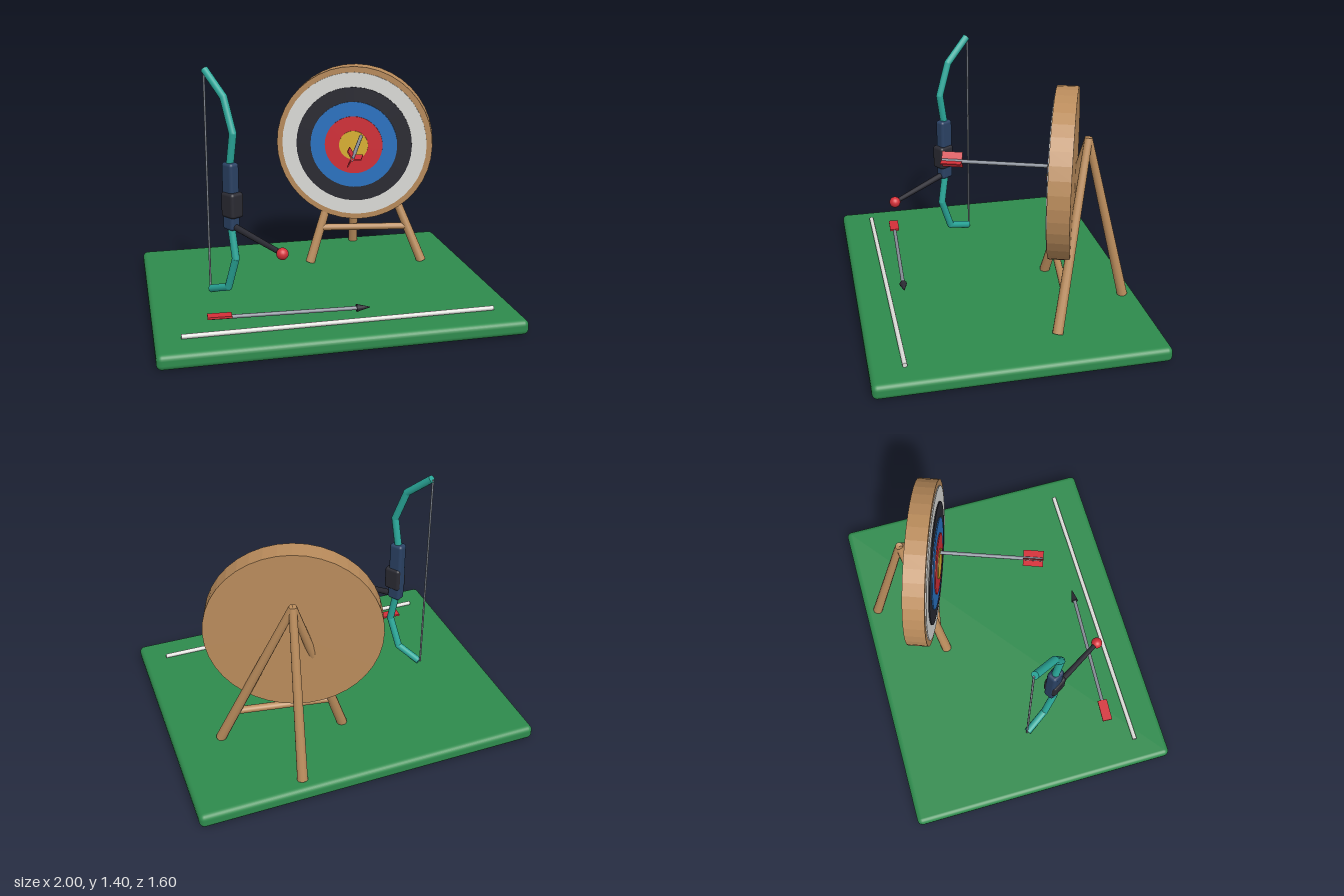
import * as THREE from 'three';
import { RoundedBoxGeometry } from 'three/addons/geometries/RoundedBoxGeometry.js';

const mat = (name, color, side = THREE.FrontSide) => {
  const m = new THREE.MeshStandardMaterial({ color, side });
  m.name = name;
  return m;
};
const V = (x, y, z) => new THREE.Vector3(x, y, z);

export function createModel() {
  const green = mat('grass green', 0x2e8b4d);
  const wood = mat('tan wood', 0xba8c5c);
  const white = mat('off white', 0xdededa);
  const black = mat('near black', 0x2a2a32);
  const blue = mat('ring blue', 0x2a74c4);
  const red = mat('bright red', 0xd42f38);
  const gold = mat('gold', 0xdcb232);
  const teal = mat('limb teal', 0x2aa89a);
  const navy = mat('riser navy', 0x2a4163);
  const grey = mat('shaft grey', 0x868c96);

  const root = new THREE.Group();
  root.name = 'archeryRange';

  const add = (parent, name, geo, material, pos) => {
    const m = new THREE.Mesh(geo, material);
    m.name = name;
    if (pos) m.position.copy(pos);
    parent.add(m);
    return m;
  };
  // Cylinder running from a (radius ra) to b (radius rb)
  const rod = (parent, name, a, b, ra, rb, material, sides = 12) => {
    const dir = b.clone().sub(a);
    const m = add(parent, name, new THREE.CylinderGeometry(rb, ra, dir.length(), sides), material,
      a.clone().add(b).multiplyScalar(0.5));
    m.quaternion.setFromUnitVectors(V(0, 1, 0), dir.normalize());
    return m;
  };
  const group = (name, pos, rotY = 0) => {
    const g = new THREE.Group();
    g.name = name;
    g.position.copy(pos);
    g.rotation.y = rotY;
    root.add(g);
    return g;
  };

  // Ground slab and shooting line
  add(root, 'ground', new RoundedBoxGeometry(2, 0.085, 1.6, 3, 0.03), green, V(0, 0.0425, 0));
  rod(root, 'shootingLine', V(-0.86, 0.098, 0.615), V(0.86, 0.098, 0.615), 0.013, 0.013, white);

  // Target disc, facing local +z
  const angle = -0.349;
  const target = group('target', V(0.318, 0.85, -0.367), angle);
  const discGeo = new THREE.CylinderGeometry(0.48, 0.48, 0.12, 40).toNonIndexed();
  discGeo.computeVertexNormals();
  add(target, 'targetDisc', discGeo, wood).rotation.x = Math.PI / 2;

  // Scoring rings, each a thin plate a little further forward
  const rings = [['white', white], ['black', black], ['blue', blue], ['red', red], ['gold', gold]];
  rings.forEach(([name, material], i) => {
    const r = 0.089 * (5 - i);
    const plate = add(target, name + 'Ring', new THREE.CylinderGeometry(r, r, 0.008, 40), material,
      V(0, 0, 0.062 + i * 0.006));
    plate.rotation.x = Math.PI / 2;
  });

  // Tripod stand
  const apex = V(0.36, 1.06, -0.485);
  const feet = { leftLeg: V(0.73, 0.085, -0.235), rightLeg: V(0.03, 0.085, -0.355), rearLeg: V(0.405, 0.085, -0.72) };
  for (const [name, foot] of Object.entries(feet)) rod(root, name, foot, apex, 0.03, 0.022, wood);
  rod(root, 'crossbar', V(0.095, 0.305, -0.382), V(0.645, 0.305, -0.29), 0.021, 0.021, wood);

  // Arrow stuck in the target, along local +z
  const shot = group('stuckArrow', V(0.327, 0.905, -0.26), angle);
  rod(shot, 'arrowShaft', V(0, 0, -0.05), V(0, 0, 0.575), 0.011, 0.011, grey);
  for (let i = 0; i < 3; i++) {
    const a = (i * Math.PI * 2) / 3;
    const fin = add(shot, 'fletching', new THREE.BoxGeometry(0.05, 0.006, 0.115), red,
      V(Math.cos(a) * 0.026, Math.sin(a) * 0.026, 0.522));
    fin.rotation.z = a;
  }

  // Arrow lying on the ground, along local +x
  const lying = group('lyingArrow', V(-0.7, 0.13, 0.483), -0.05);
  rod(lying, 'arrowShaft', V(0, 0, 0), V(0.81, 0, 0), 0.011, 0.011, grey);
  rod(lying, 'arrowHead', V(0.8, 0, 0), V(0.875, 0, 0), 0.022, 0.002, black);
  add(lying, 'fletching', new THREE.BoxGeometry(0.13, 0.012, 0.058), red, V(0.055, 0.008, 0));

  // Bow, built in its own plane with the belly towards local +z
  const bow = group('bow', V(-0.635, 0, -0.008), 0.568);
  const limbs = {
    upperLimb: [[0.195, 0.87], [0.228, 1.06], [0.157, 1.252], [0, 1.385]],
    lowerLimb: [[0.195, 0.53], [0.228, 0.345], [0.157, 0.155], [0, 0.102]],
  };
  for (const [name, pts] of Object.entries(limbs)) {
    const path = pts.map(([z, y]) => V(0, y, z));
    path.forEach((p, i) => {
      if (i) rod(bow, name, path[i - 1], p, 0.022, 0.022, teal);
      if (i && i < 3) add(bow, name + 'Joint', new THREE.SphereGeometry(0.022, 12, 8), teal, p);
    });
  }
  rod(bow, 'bowString', V(0, 0.105, -0.008), V(0, 1.38, -0.008), 0.006, 0.006, grey, 8);
  add(bow, 'riser', new RoundedBoxGeometry(0.065, 0.385, 0.085, 3, 0.018), navy, V(0, 0.703, 0.198));
  add(bow, 'grip', new RoundedBoxGeometry(0.088, 0.145, 0.102, 3, 0.018), black, V(0, 0.658, 0.209));
  rod(bow, 'stabilizerRod', V(0, 0.535, 0.2), V(0, 0.472, 0.6), 0.019, 0.014, black);
  add(bow, 'stabilizerWeight', new THREE.SphereGeometry(0.033, 20, 14), red, V(0, 0.47, 0.612));

  return root;
}
